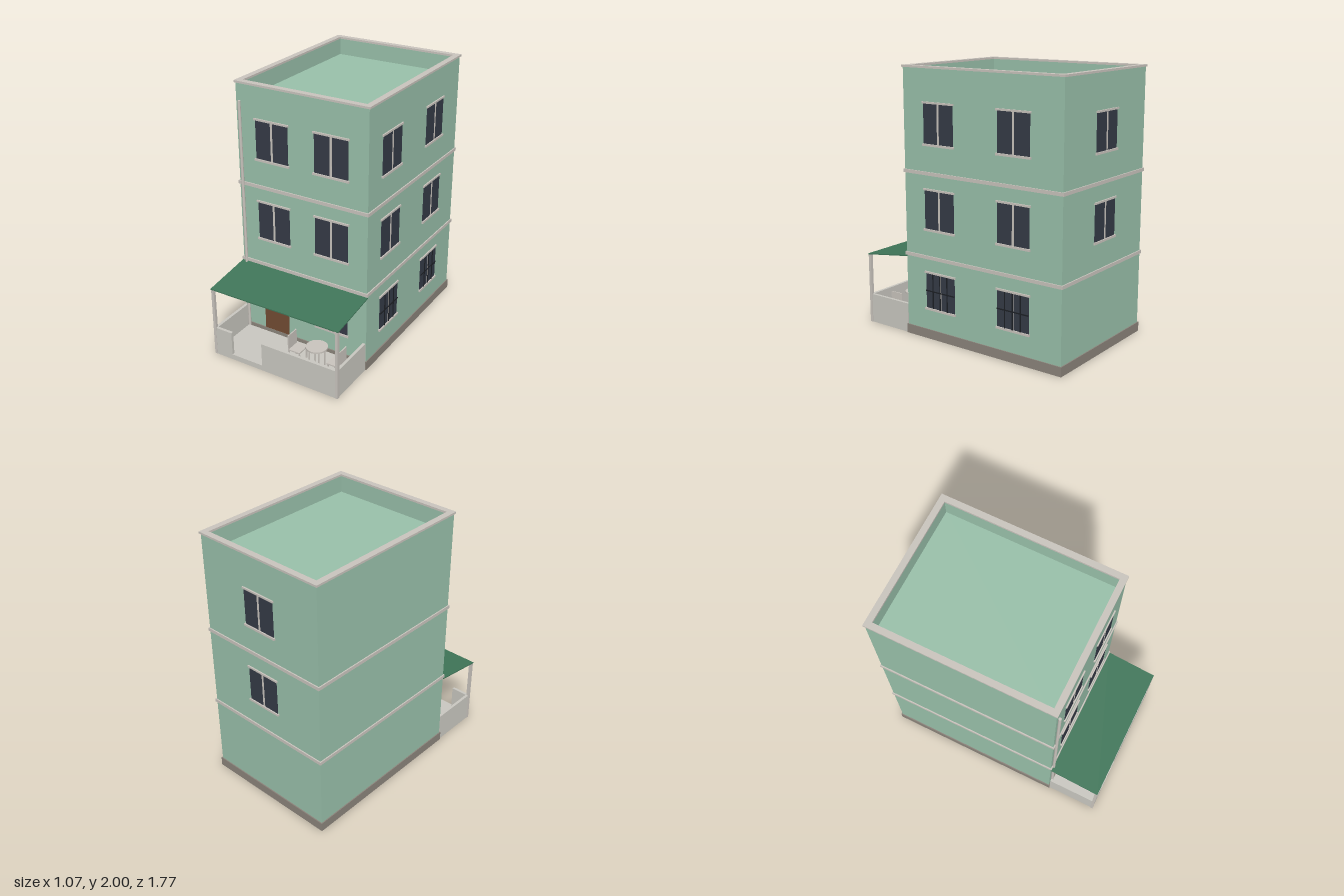
import * as THREE from 'three';

const mat = (name, color) => {
  const m = new THREE.MeshStandardMaterial({ color });
  m.name = name;
  return m;
};

export function createModel() {
  const M = {
    wall: mat('green wall', 0x98bfa9),
    trim: mat('pale trim', 0xc8c3bc),
    concrete: mat('porch concrete', 0xc8c6bf),
    plinth: mat('plinth grey', 0x8a837a),
    glass: mat('window glass', 0x343a46),
    bars: mat('dark bars', 0x1c1f24),
    door: mat('door brown', 0x704b32),
    awning: mat('awning green', 0x3f7558),
  };
  const root = new THREE.Group();
  root.name = 'house';

  // Box given by its min and max corners
  const box = (parent, name, m, [x0, y0, z0], [x1, y1, z1]) => {
    const mesh = new THREE.Mesh(new THREE.BoxGeometry(x1 - x0, y1 - y0, z1 - z0), m);
    mesh.position.set((x0 + x1) / 2, (y0 + y1) / 2, (z0 + z1) / 2);
    mesh.name = name;
    parent.add(mesh);
    return mesh;
  };
  const cyl = (parent, name, m, r, h, x, y, z, n = 12) => {
    const mesh = new THREE.Mesh(new THREE.CylinderGeometry(r, r, h, n), m);
    mesh.position.set(x, y, z);
    mesh.name = name;
    parent.add(mesh);
    return mesh;
  };

  const X0 = -0.53, X1 = 0.522, Z0 = -0.873, Z1 = 0.487;
  const CX = (X0 + X1) / 2, CZ = (Z0 + Z1) / 2;

  // Rectangular ring lying flat: grows outward by out, opening inset by inner
  const ring = (name, m, out, inner, y0, y1) => {
    const rect = (P, d) => {
      const hx = (X1 - X0) / 2 + d, hz = (Z1 - Z0) / 2 + d;
      return new P().moveTo(-hx, -hz).lineTo(hx, -hz).lineTo(hx, hz).lineTo(-hx, hz).closePath();
    };
    const s = rect(THREE.Shape, out);
    s.holes.push(rect(THREE.Path, -inner));
    const g = new THREE.ExtrudeGeometry(s, { depth: y1 - y0, bevelEnabled: false });
    g.rotateX(-Math.PI / 2);
    const mesh = new THREE.Mesh(g, m);
    mesh.position.set(CX, y0, CZ);
    mesh.name = name;
    root.add(mesh);
  };

  // Main block, parapet and floor bands
  box(root, 'walls', M.wall, [X0, 0.07, Z0], [X1, 1.86, Z1]);
  box(root, 'plinth', M.plinth, [X0 - 0.008, 0, Z0 - 0.008], [X1 + 0.008, 0.07, Z1 + 0.008]);
  ring('parapet', M.wall, 0, 0.036, 1.86, 1.985);
  ring('coping', M.trim, 0.009, 0.037, 1.985, 2);
  ring('lowerBand', M.trim, 0.009, 0.02, 0.61, 0.635);
  ring('upperBand', M.trim, 0.009, 0.02, 1.23, 1.255);

  // Window built facing +z, with its wall plane at z = 0
  const makeWindow = (y0, y1, barred) => {
    const g = new THREE.Group();
    g.name = barred ? 'barredWindow' : 'window';
    const w = 0.1325;
    box(g, 'glass', M.glass, [-w, y0, -0.002], [w, y1, 0.004]);
    box(g, 'mullion', M.trim, [-0.008, y0, 0], [0.008, y1, 0.006]);
    box(g, 'lintel', M.trim, [-w - 0.01, y1, -0.005], [w + 0.01, y1 + 0.014, 0.01]);
    box(g, 'sill', M.trim, [-w - 0.01, y0 - 0.016, -0.005], [w + 0.01, y0, 0.013]);
    if (barred) {
      for (const x of [-0.066, 0, 0.066])
        box(g, 'uprightBar', M.bars, [x - 0.004, y0, 0.006], [x + 0.004, y1, 0.011]);
      const ym = (y0 + y1) / 2;
      box(g, 'crossBar', M.bars, [-w, ym - 0.004, 0.006], [w, ym + 0.004, 0.011]);
    }
    root.add(g);
    return g;
  };
  const levels = [[0.24, 0.503, true], [0.838, 1.12, false], [1.457, 1.74, false]];
  levels.forEach(([y0, y1, barred], i) => {
    // Front
    for (const x of i ? [-0.242, 0.236] : [0.236])
      makeWindow(y0, y1, barred).position.set(x, 0, Z1);
    // Model's left side
    for (const z of [0.167, -0.48]) {
      const w = makeWindow(y0, y1, barred);
      w.position.set(X1, 0, z);
      w.rotation.y = Math.PI / 2;
    }
    // Back
    if (i) {
      const w = makeWindow(y0, y1 - 0.018, false);
      w.position.set(CX, 0, Z0);
      w.rotation.y = Math.PI;
    }
  });

  // Door and downpipe
  box(root, 'door', M.door, [-0.35, 0.07, Z1 - 0.004], [-0.137, 0.503, Z1 + 0.005]);
  box(root, 'doorLintel', M.trim, [-0.36, 0.503, Z1 - 0.004], [-0.127, 0.517, Z1 + 0.01]);
  cyl(root, 'downpipe', M.trim, 0.011, 1.81, -0.499, 0.955, Z1 + 0.011);

  // Porch floor, low walls and posts
  const porch = new THREE.Group();
  porch.name = 'porch';
  root.add(porch);
  const ZP = 0.883, T = 0.022, H = 0.225, F = 0.042, zb = Z1 + 0.008;
  box(porch, 'porchFloor', M.concrete, [X0, 0, zb], [X1, F, ZP]);
  box(porch, 'sideWall', M.concrete, [X0, F, zb], [X0 + T, H, ZP]);
  box(porch, 'sideWall', M.concrete, [X1 - T, F, zb], [X1, H, ZP]);
  box(porch, 'frontWall', M.concrete, [X0 + T, F, ZP - T], [-0.375, H, ZP]);
  box(porch, 'frontWall', M.concrete, [-0.11, F, ZP - T], [X1 - T, H, ZP]);
  for (const x of [X0 + 0.006, X1 - 0.006])
    box(porch, 'post', M.trim, [x - 0.011, 0, ZP - 0.02], [x + 0.011, 0.546, ZP + 0.002]);

  // Sloping awning, drawn as a side profile and extruded across
  const slope = new THREE.Shape();
  slope.moveTo(Z1, 0.598).lineTo(0.885, 0.542).lineTo(0.885, 0.55).lineTo(Z1, 0.606).closePath();
  const ag = new THREE.ExtrudeGeometry(slope, { depth: X1 - X0 + 0.018, bevelEnabled: false });
  ag.rotateY(-Math.PI / 2);
  const awning = new THREE.Mesh(ag, M.awning);
  awning.name = 'awning';
  awning.position.x = X1 + 0.009;
  root.add(awning);

  // Round table
  const TX = 0.23, TZ = 0.68;
  const table = new THREE.Group();
  table.name = 'table';
  table.position.set(TX, 0, TZ);
  cyl(table, 'tableTop', M.trim, 0.08, 0.012, 0, 0.205, 0, 20);
  for (const sx of [-1, 1]) for (const sz of [-1, 1])
    cyl(table, 'tableLeg', M.trim, 0.005, 0.16, sx * 0.04, 0.121, sz * 0.04, 8);
  root.add(table);

  // Two chairs facing the table
  for (const s of [-1, 1]) {
    const chair = new THREE.Group();
    chair.name = 'chair';
    chair.position.set(TX + s * 0.165, 0, TZ);
    if (s < 0) chair.rotation.y = Math.PI;
    box(chair, 'seat', M.trim, [-0.05, 0.13, -0.053], [0.05, 0.14, 0.053]);
    box(chair, 'backrest', M.trim, [0.042, 0.14, -0.053], [0.05, 0.254, 0.053]);
    for (const x of [-0.044, 0.044]) for (const z of [-0.047, 0.047])
      box(chair, 'chairLeg', M.trim, [x - 0.005, F, z - 0.005], [x + 0.005, 0.13, z + 0.005]);
    root.add(chair);
  }
  return root;
}
